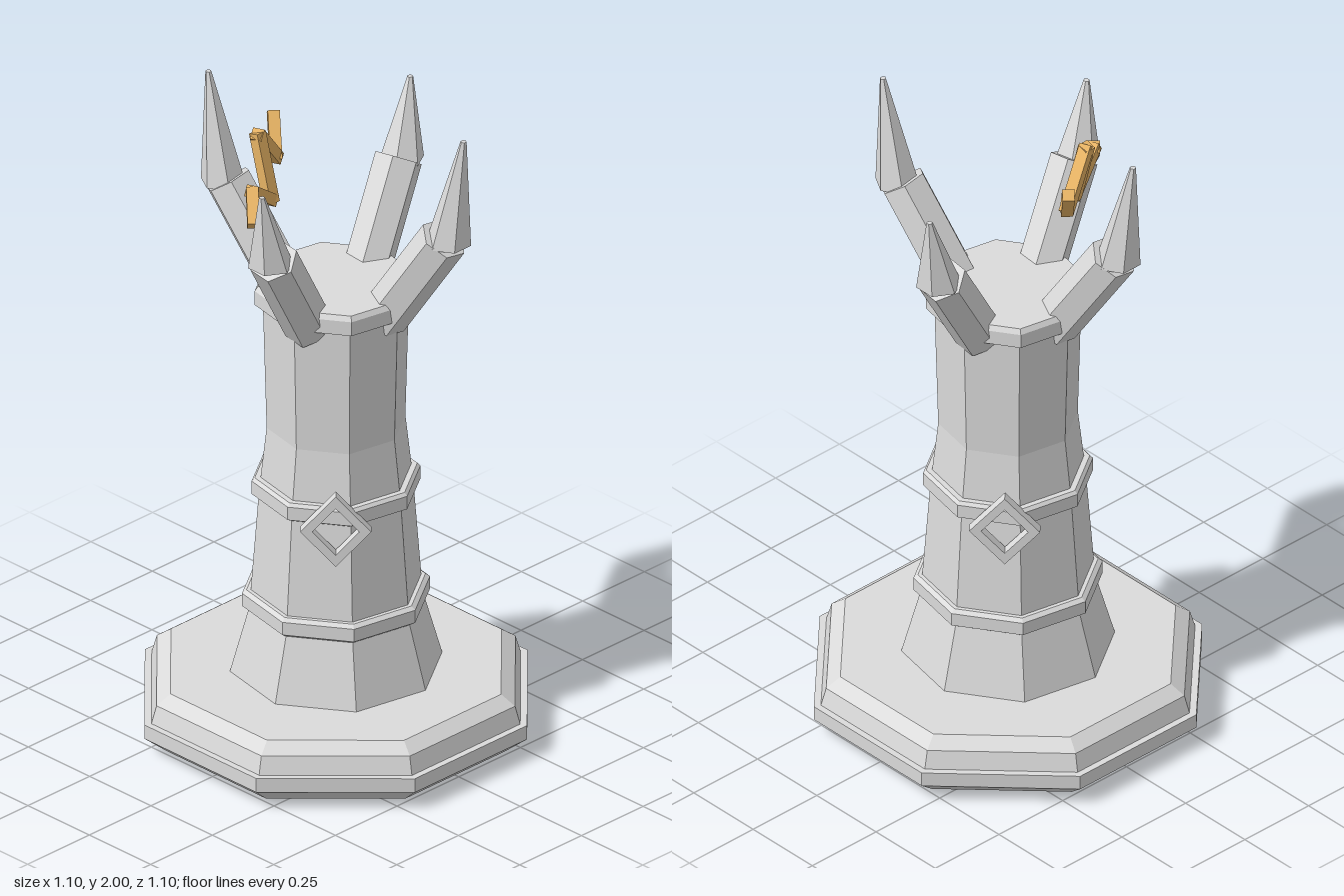
import * as THREE from 'three';

const stone = new THREE.MeshStandardMaterial({ color: 0xdbdbdb });
stone.name = 'stone grey';
const gold = new THREE.MeshStandardMaterial({ color: 0xe8b465 });
gold.name = 'gold';

// Faceted mesh: every face gets its own normal
function facet(name, geometry, material = stone) {
  const g = geometry.index ? geometry.toNonIndexed() : geometry;
  g.computeVertexNormals();
  const mesh = new THREE.Mesh(g, material);
  mesh.name = name;
  return mesh;
}

// Eight-sided turned part from [radius, height] pairs, bottom to top
function octagonal(name, profile, degrees) {
  const points = profile.map(([r, y]) => new THREE.Vector2(r, y));
  const mesh = facet(name, new THREE.LatheGeometry(points, 8));
  mesh.rotation.y = THREE.MathUtils.degToRad(degrees);
  return mesh;
}

// Leaning hexagonal arm with an upright spike on its end
function makeArm(tipHeight) {
  const arm = new THREE.Group();
  arm.name = 'clawArm';
  const start = new THREE.Vector3(0, 1.354, 0.157);
  const end = new THREE.Vector3(0, 1.664, 0.358);
  const axis = end.clone().sub(start);

  // Shaft, slightly twisted about its own axis
  const shaft = new THREE.CylinderGeometry(0.072, 0.072, axis.length(), 6);
  shaft.rotateY(Math.PI / 6 - 0.3);
  shaft.applyQuaternion(new THREE.Quaternion().setFromUnitVectors(
    new THREE.Vector3(0, 1, 0), axis.clone().normalize()));
  const mid = start.clone().add(end).multiplyScalar(0.5);
  shaft.translate(mid.x, mid.y, mid.z);
  arm.add(facet('armShaft', shaft));

  // Spike with a level base, its tip sheared outward
  const baseHeight = 1.655;
  const height = tipHeight - baseHeight;
  const spike = new THREE.CylinderGeometry(0.009, 0.067, height, 6);
  spike.rotateY(Math.PI / 12);
  spike.translate(0, height / 2, 0);
  const position = spike.attributes.position;
  for (let i = 0; i < position.count; i++) {
    position.setZ(i, position.getZ(i) + 0.05 * position.getY(i) / height);
  }
  spike.translate(0, baseHeight, 0.374);
  arm.add(facet('armSpike', spike));
  return arm;
}

// Diamond outline, taller than wide
function diamondPath(PathType, w, h) {
  const path = new PathType();
  path.moveTo(w, 0).lineTo(0, h).lineTo(-w, 0).lineTo(0, -h).closePath();
  return path;
}

export function createModel() {
  const model = new THREE.Group();
  model.name = 'clawPedestal';

  // Stepped, chamfered base with flats facing the axes
  const k = 1 / Math.cos(Math.PI / 8);
  const base = [[0, 0], [0.485, 0], [0.55, 0.055], [0.55, 0.1], [0.53, 0.1],
    [0.515, 0.155], [0.475, 0.185], [0, 0.185]].map(([r, y]) => [r * k, y]);
  model.add(octagonal('base', base, 22.5));

  // Waisted column and its three bands
  const turn = 11;
  model.add(octagonal('column', [[0.312, 0.18], [0.255, 0.385], [0.25, 0.44],
    [0.225, 0.77], [0.203, 0.97], [0.214, 1.38]], turn));
  model.add(octagonal('lowerBand', [[0.245, 0.375], [0.275, 0.395], [0.275, 0.436],
    [0.262, 0.446], [0.24, 0.446]], turn));
  model.add(octagonal('middleBand', [[0.215, 0.74], [0.247, 0.758], [0.247, 0.8],
    [0.238, 0.81], [0.21, 0.81]], turn));
  model.add(octagonal('topCollar', [[0.2, 1.36], [0.238, 1.375], [0.238, 1.42],
    [0.228, 1.435], [0, 1.435]], turn));

  // Open diamond ornaments on opposite corners
  const outline = diamondPath(THREE.Shape, 0.102, 0.114);
  outline.holes.push(diamondPath(THREE.Path, 0.068, 0.076));
  for (const angle of [-Math.PI / 4, Math.PI * 0.75]) {
    const frame = new THREE.ExtrudeGeometry(outline, { depth: 0.034, bevelEnabled: false });
    frame.translate(0, 0, -0.017);
    const diamond = facet('diamondOrnament', frame);
    diamond.position.set(Math.sin(angle) * 0.245, 0.75, Math.cos(angle) * 0.245);
    diamond.rotation.y = angle;
    model.add(diamond);
  }

  // Four arms, the front and back pair being taller
  for (let i = 0; i < 4; i++) {
    const arm = makeArm(i % 2 ? 1.9 : 2.0);
    arm.rotation.y = THREE.MathUtils.degToRad(15 + i * 90);
    model.add(arm);
  }

  // Floating gold bolt zigzagging between two arms
  const bolt = new THREE.Group();
  bolt.name = 'goldBolt';
  const path = [[-0.335, 1.745, 0], [-0.285, 1.808, -0.055], [-0.165, 1.72, -0.1],
    [-0.165, 1.91, -0.152], [-0.045, 1.775, -0.2], [0.002, 1.875, -0.257]]
    .map((p) => new THREE.Vector3(...p));
  for (let i = 0; i < path.length - 1; i++) {
    const length = path[i].distanceTo(path[i + 1]);
    const bar = facet('boltSegment', new THREE.BoxGeometry(0.035, 0.035, length + 0.018), gold);
    bar.position.lerpVectors(path[i], path[i + 1], 0.5);
    bar.lookAt(path[i + 1]);
    bolt.add(bar);
  }
  model.add(bolt);
  return model;
}
